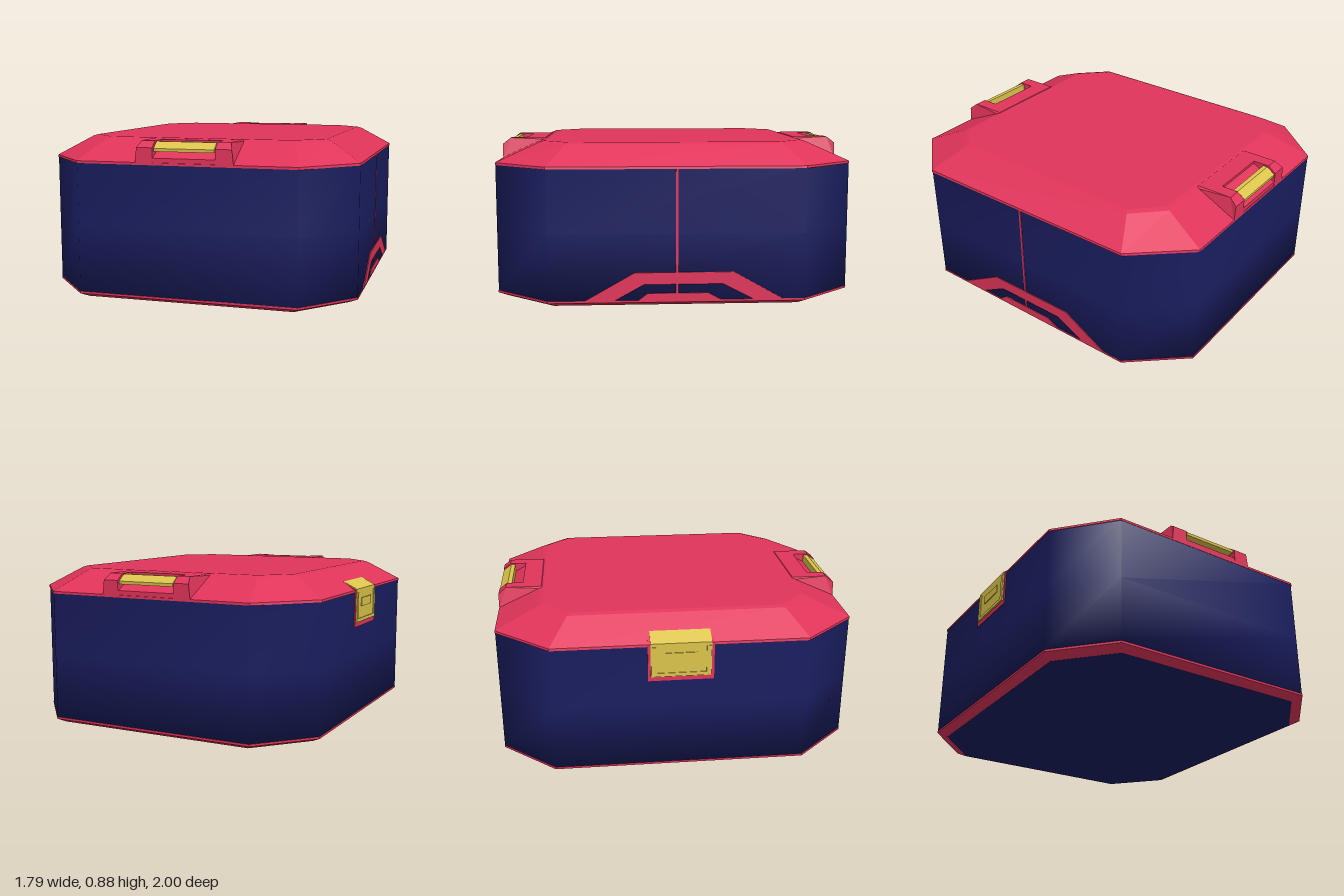
import * as THREE from 'three';

const mat = (color, extra = {}) => {
  const m = new THREE.MeshStandardMaterial(extra);
  m.color.set(color);
  return m;
};
const red = mat(0xe0345a, { flatShading: true });
const navy = mat(0x1a1e60);
const navyFlat = mat(0x1a1e60, { flatShading: true });
const gold = mat(0xdcc44c, { flatShading: true });

function add(parent, name, geometry, material, x = 0, y = 0, z = 0) {
  const mesh = new THREE.Mesh(geometry, material);
  mesh.name = name;
  mesh.position.set(x, y, z);
  parent.add(mesh);
  return mesh;
}

// Eight-sided loft; each ring is [y, halfWidth, halfDepth, cutX, cutZ]
function octagonLoft(rings, capTop = true, capBottom = true) {
  const pos = [], idx = [];
  for (const [y, w, d, cx, cz] of rings) {
    const corners = [[w, d - cz], [w - cx, d], [cx - w, d], [-w, d - cz],
      [-w, cz - d], [cx - w, -d], [w - cx, -d], [w, cz - d]];
    for (const [x, z] of corners) pos.push(x, y, z);
  }
  for (let r = 0; r < rings.length - 1; r++) {
    for (let i = 0; i < 8; i++) {
      const a = r * 8 + i, b = r * 8 + (i + 1) % 8;
      idx.push(a, a + 8, b, b, a + 8, b + 8);
    }
  }
  const top = (rings.length - 1) * 8;
  for (let i = 1; i < 7; i++) {
    if (capBottom) idx.push(0, i, i + 1);
    if (capTop) idx.push(top, top + i + 1, top + i);
  }
  // Rings run clockwise seen from above, so every face is turned outward here
  for (let i = 0; i < idx.length; i += 3) {
    const p = [0, 1, 2].map(k => new THREE.Vector3().fromArray(pos, idx[i + k] * 3));
    const n = p[1].clone().sub(p[0]).cross(p[2].clone().sub(p[0]));
    const mid = p[0].clone().add(p[1]).add(p[2]).divideScalar(3);
    mid.y -= (rings[0][0] + rings[rings.length - 1][0]) / 2;
    if (n.dot(mid) < 0) [idx[i + 1], idx[i + 2]] = [idx[i + 2], idx[i + 1]];
  }
  const g = new THREE.BufferGeometry();
  g.setAttribute('position', new THREE.Float32BufferAttribute(pos, 3));
  g.setIndex(idx);
  g.computeVertexNormals();
  return g;
}

const polygon = pts => new THREE.Shape(pts.map(([x, y]) => new THREE.Vector2(x, y)));
const extrude = (shape, depth) => new THREE.ExtrudeGeometry(shape, { depth, bevelEnabled: false });

// Profile given as [z, y], extruded along x from x0 to x1
function alongX(pts, x0, x1) {
  const g = extrude(polygon(pts.map(([z, y]) => [-z, y])), x1 - x0);
  g.rotateY(Math.PI / 2);
  g.translate(x0, 0, 0);
  return g;
}

// Catch housing with a recess and a gold bar, on the +z edge of the lid
function catchHousing() {
  const g = new THREE.Group();
  const side = [[0.74, 0.755], [1, 0.755], [1, 0.845], [0.955, 0.88], [0.75, 0.88], [0.74, 0.87]];
  for (const s of [-1, 1]) {
    const cheek = alongX(side, s > 0 ? 0.175 : -0.275, s > 0 ? 0.275 : -0.175);
    // outer faces lean inward towards the top
    const p = cheek.attributes.position;
    for (let i = 0; i < p.count; i++) {
      if (Math.abs(p.getX(i)) > 0.2 && p.getY(i) > 0.8) p.setX(i, s * (p.getY(i) > 0.875 ? 0.25 : 0.265));
    }
    add(g, 'housingCheek', cheek, red);
  }
  add(g, 'housingRear', alongX([[0.74, 0.755], [0.86, 0.755], [0.86, 0.88], [0.75, 0.88], [0.74, 0.87]], -0.175, 0.175), red);
  add(g, 'housingSill', alongX([[0.86, 0.755], [0.998, 0.755], [0.998, 0.79], [0.975, 0.8], [0.86, 0.865]], -0.175, 0.175), red);
  add(g, 'catchBar', alongX([[0.925, 0.83], [0.996, 0.825], [0.998, 0.842], [0.95, 0.876], [0.925, 0.876]], -0.168, 0.168), gold);
  return g;
}

// Flat strip on the +x wall, outline given as [z, y]
function sideStrip(parent, name, pts, material, thickness) {
  const g = extrude(polygon(pts.map(([z, y]) => [-z, y])), thickness + 0.01);
  g.rotateY(Math.PI / 2);
  return add(parent, name, g, material, 0.875);
}

// Clasp wrapping over the lid edge on the -x side
function sideClasp() {
  const g = new THREE.Group();
  g.name = 'sideClasp';
  const wrap = (o, low, high, half) => {
    const geo = extrude(polygon([[-0.86, low], [-0.86, 0.7], [-0.8, 0.76], [high, 0.757 + o + (0.885 + high) * 0.615],
      [-0.885 - o, 0.762 + o], [-0.885 - o, low]]), half * 2);
    geo.translate(0, 0, -half);
    return geo;
  };
  add(g, 'claspFrame', wrap(0.004, 0.55, -0.805, 0.18), red);
  add(g, 'claspPlate', wrap(0.008, 0.575, -0.81, 0.165), gold);
  // raised rim and tab of the plate
  for (const s of [-1, 1]) {
    add(g, 'claspRim', new THREE.BoxGeometry(0.012, 0.17, 0.025), gold, -0.891, 0.665, s * 0.15);
  }
  add(g, 'claspRim', new THREE.BoxGeometry(0.012, 0.02, 0.28), gold, -0.891, 0.588, 0);
  add(g, 'claspTab', new THREE.BoxGeometry(0.014, 0.05, 0.17), gold, -0.891, 0.69, 0);
  return g;
}

export function createModel() {
  const model = new THREE.Group();
  model.name = 'case';

  // Base rim, underside and body
  add(model, 'baseRim', octagonLoft([[0, 0.835, 0.95, 0.25, 0.28], [0.025, 0.885, 1, 0.27, 0.3],
    [0.037, 0.885, 1, 0.27, 0.3]]), red);
  add(model, 'underside', octagonLoft([[-0.001, 0.83, 0.945, 0.25, 0.28], [0.01, 0.83, 0.945, 0.25, 0.28]]), navyFlat);
  add(model, 'body', octagonLoft([[0.037, 0.884, 0.998, 0.27, 0.3], [0.4, 0.884, 0.998, 0.27, 0.3],
    [0.755, 0.884, 0.998, 0.27, 0.3]], false, true), navy);

  // Bevelled lid
  add(model, 'lid', octagonLoft([[0.752, 0.888, 1, 0.27, 0.3], [0.765, 0.886, 1, 0.27, 0.3],
    [0.873, 0.705, 0.76, 0.16, 0.16], [0.881, 0.68, 0.735, 0.15, 0.15]]), red);

  // Catch housings at front and back
  for (const [name, turn] of [['frontCatch', 0], ['backCatch', Math.PI]]) {
    const c = catchHousing();
    c.name = name;
    c.rotation.y = turn;
    model.add(c);
  }

  model.add(sideClasp());

  // Seam and stepped arch trim on the +x wall
  sideStrip(model, 'sideSeam', [[-0.006, 0.19], [0.006, 0.19], [0.006, 0.755], [-0.006, 0.755]], red, 0.002);
  sideStrip(model, 'archTrim', [[0.5, 0.037], [0.23, 0.19], [-0.31, 0.19], [-0.58, 0.037],
    [-0.42, 0.037], [-0.25, 0.125], [0.18, 0.125], [0.34, 0.037]], red, 0.004);
  sideStrip(model, 'archSeam', [[-0.006, 0.07], [0.006, 0.07], [0.006, 0.13], [-0.006, 0.13]], red, 0.002);
  sideStrip(model, 'archStep', [[0.21, 0.037], [0.16, 0.075], [-0.17, 0.075], [-0.24, 0.037]], red, 0.003);

  return model;
}
